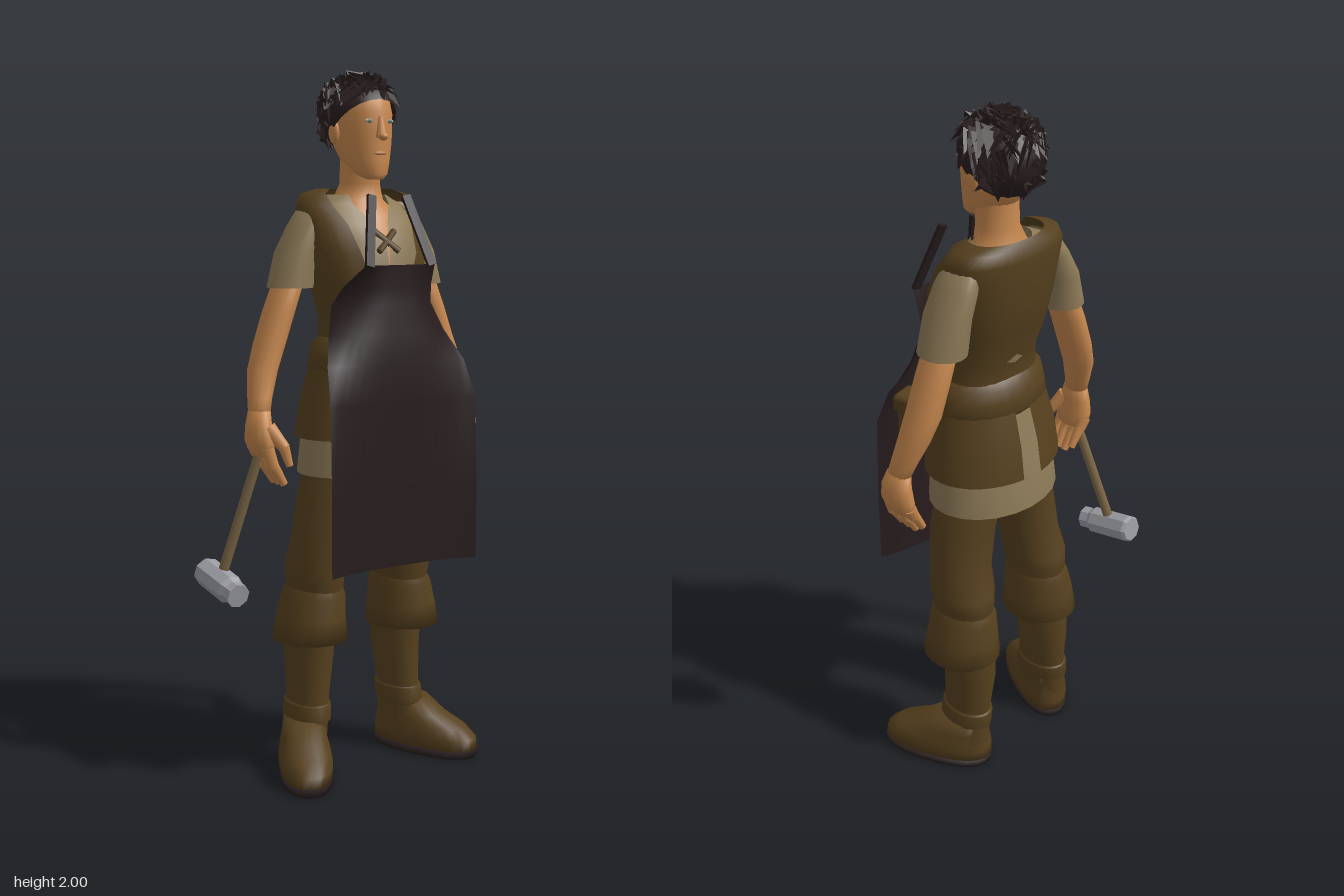
import * as THREE from 'three';
import { mergeGeometries } from 'three/addons/utils/BufferGeometryUtils.js';
import { RoundedBoxGeometry } from 'three/addons/geometries/RoundedBoxGeometry.js';

const CX = 0.04; // midline of the body
const mat = (name, color, side = THREE.FrontSide) => {
  const m = new THREE.MeshStandardMaterial({ color, side });
  m.name = name;
  return m;
};

export function createModel() {
  const D = THREE.DoubleSide;
  const skin = mat('skin', 0xc6874e), leather = mat('brown leather', 0x56401e, D);
  const linen = mat('linen', 0x8c7957, D), apronMat = mat('dark apron', 0x271c1d, D);
  const hairMat = mat('hair', 0x281d1e, D), metal = mat('metal', 0x9a9ba1);
  const wood = mat('wood', 0x7d6747), eyeWhite = mat('eye white', 0xa89a86);
  const iris = mat('iris', 0x587a80), lip = mat('lip', 0xb87842);

  const root = new THREE.Group();
  root.name = 'apronWorker';
  const add = (name, geo, material, parent = root) => {
    const m = new THREE.Mesh(geo, material);
    m.name = name;
    parent.add(m);
    return m;
  };

  // Skin over horizontal rings, bottom to top: [dx, y, z, rx, rz, gap half-angle]
  function loft(rows, { s = 1, cx = CX, seg = 22, from = 0, to = Math.PI * 2, cap = false, e = 1 } = {}) {
    const open = to - from < 6.28 || rows.some(r => r[5]);
    const cols = open ? seg + 1 : seg, pos = [], idx = [];
    const p = v => Math.sign(v) * Math.pow(Math.abs(v), e);
    for (const [dx, y, z, rx, rz, gap = 0] of rows) {
      for (let i = 0; i < cols; i++) {
        const a = from + gap + (to - from - 2 * gap) * i / seg;
        pos.push(cx + s * dx + rx * p(Math.sin(a)), y, z + rz * p(Math.cos(a)));
      }
    }
    for (let j = 0; j < rows.length - 1; j++) {
      for (let i = 0; i < seg; i++) {
        const k = (i + 1) % cols, a = j * cols + i, b = j * cols + k;
        idx.push(a, b, b + cols, a, b + cols, a + cols);
      }
    }
    if (cap) [0, rows.length - 1].forEach((j, top) => {
      const c = pos.length / 3, r = rows[j];
      pos.push(cx + s * r[0], r[1], r[2]);
      for (let i = 0; i < seg; i++) {
        const a = j * cols + i, b = j * cols + (i + 1) % cols;
        if (top) idx.push(c, a, b); else idx.push(c, b, a);
      }
    });
    const g = new THREE.BufferGeometry();
    g.setAttribute('position', new THREE.Float32BufferAttribute(pos, 3));
    g.setIndex(idx);
    g.computeVertexNormals();
    return g;
  }

  // Tapered rod between two points
  function rod(a, b, ra, rb, seg = 10) {
    const A = new THREE.Vector3(...a), B = new THREE.Vector3(...b), d = B.clone().sub(A);
    const g = new THREE.CylinderGeometry(rb, ra, d.length(), seg);
    g.applyQuaternion(new THREE.Quaternion().setFromUnitVectors(new THREE.Vector3(0, 1, 0), d.normalize()));
    const c = A.add(B).multiplyScalar(0.5);
    return g.translate(c.x, c.y, c.z);
  }
  const blob = (x, y, z, rx, ry, rz) => new THREE.SphereGeometry(1, 14, 10).scale(rx, ry, rz).translate(x, y, z);

  // Head, neck and chest
  add('head', loft([[0, 1.7, 0.035, 0.022, 0.02], [0, 1.715, 0.015, 0.043, 0.05], [0, 1.75, -0.015, 0.061, 0.08],
    [0, 1.79, -0.03, 0.073, 0.094], [0, 1.83, -0.038, 0.079, 0.103], [0, 1.88, -0.045, 0.082, 0.109],
    [0, 1.92, -0.048, 0.077, 0.1], [0, 1.95, -0.05, 0.056, 0.07], [0, 1.965, -0.05, 0.03, 0.04]], { cap: true }), skin);
  add('neckAndChest', loft([[0, 1.46, -0.01, 0.12, 0.105], [0, 1.53, -0.025, 0.13, 0.108], [0, 1.6, -0.045, 0.12, 0.09],
    [0, 1.645, -0.055, 0.075, 0.065], [0, 1.69, -0.045, 0.056, 0.06], [0, 1.78, -0.04, 0.055, 0.062]]), skin);
  add('nose', rod([CX, 1.812, 0.066], [CX, 1.87, 0.06], 0.017, 0.008), skin);
  add('noseTip', blob(CX, 1.816, 0.075, 0.014, 0.011, 0.015), skin);
  add('mouth', blob(CX, 1.771, 0.061, 0.02, 0.006, 0.005), lip);
  for (const s of [-1, 1]) {
    add('ear', blob(CX + s * 0.084, 1.83, -0.045, 0.012, 0.033, 0.022), skin);
    add('eye', blob(CX + s * 0.033, 1.858, 0.055, 0.014, 0.006, 0.005), eyeWhite);
    add('iris', blob(CX + s * 0.033, 1.858, 0.058, 0.006, 0.005, 0.004), iris);
  }

  // Hair: tilted cap covered with flat pointed shards
  add('hairCap', new THREE.SphereGeometry(1, 20, 12, 0, Math.PI * 2, 0, Math.PI * 0.6)
    .rotateX(-0.74).scale(0.098, 0.108, 0.121).translate(CX, 1.872, -0.05), hairMat);
  let seed = 7;
  const rnd = () => (seed = (seed * 16807) % 2147483647) / 2147483647;
  const tufts = [], up = new THREE.Vector3(0, 1, 0);
  while (tufts.length < 180) {
    const y = rnd() * 1.7 - 0.7, a = rnd() * Math.PI * 2, h = Math.sqrt(1 - y * y);
    const n = new THREE.Vector3(h * Math.sin(a), y, h * Math.cos(a));
    if (n.y < 0.9 * n.z - 0.24 || (n.z > 0.3 && n.y < 0.42)) continue;
    const dir = new THREE.Vector3(rnd() - 0.5, -0.7, rnd() - 0.5);
    dir.addScaledVector(n, -dir.dot(n)).normalize().addScaledVector(n, 0.05 + rnd() * 0.35).normalize();
    const g = new THREE.ConeGeometry(0.027, 0.06 + rnd() * 0.025, 3).toNonIndexed();
    g.scale(1, 1, 0.3).rotateY(Math.atan2(n.x, n.z)).applyQuaternion(new THREE.Quaternion().setFromUnitVectors(up, dir));
    g.translate(CX + n.x * 0.102, 1.876 + n.y * 0.108, -0.05 + n.z * 0.12);
    g.computeVertexNormals();
    tufts.push(g);
  }
  add('hairTufts', mergeGeometries(tufts), hairMat);

  // Shirt, vest and skirted hem
  add('shirt', loft([[0, 1.3, 0, 0.14, 0.11], [0, 1.42, -0.01, 0.158, 0.128], [0, 1.53, -0.027, 0.168, 0.125, 0.02],
    [0, 1.58, -0.045, 0.17, 0.108, 0.14], [0, 1.635, -0.065, 0.14, 0.085, 0.45], [0, 1.66, -0.06, 0.085, 0.072, 0.75]]), linen);
  add('vest', loft([[0, 1.17, -0.005, 0.16, 0.122], [0, 1.25, 0, 0.146, 0.111], [0, 1.32, 0, 0.145, 0.113, 0.1],
    [0, 1.42, -0.01, 0.165, 0.135, 0.35], [0, 1.5, -0.02, 0.178, 0.141, 0.48], [0, 1.58, -0.045, 0.186, 0.12, 0.55],
    [0, 1.63, -0.07, 0.184, 0.098, 0.68], [0, 1.662, -0.076, 0.166, 0.084, 0.85], [0, 1.676, -0.074, 0.115, 0.07, 1.05]],
  { seg: 30, e: 0.88 }), leather);
  add('shirtHem', loft([[0, 0.88, -0.025, 0.202, 0.157], [0, 1.0, -0.02, 0.192, 0.147], [0, 1.18, 0, 0.155, 0.118]]), linen);
  add('waistRoll', loft([[0, 1.16, -0.008, 0.16, 0.122], [0, 1.18, -0.008, 0.18, 0.137], [0, 1.215, -0.005, 0.176, 0.134],
    [0, 1.25, -0.003, 0.168, 0.128], [0, 1.27, 0, 0.145, 0.112]]), leather);
  for (const [from, to] of [[0.22, 0.95], [1.05, 1.78]]) {
    add('skirtPanel', loft([[0, 0.985, -0.022, 0.21, 0.164], [0, 1.08, -0.018, 0.198, 0.154], [0, 1.19, -0.008, 0.173, 0.132]],
      { from: from * Math.PI, to: to * Math.PI, seg: 14 }), leather);
  }
  for (const s of [-1, 1]) {
    add('chestLace', rod([CX - s * 0.033, 1.505, 0.107], [CX + s * 0.033, 1.56, 0.08], 0.009, 0.009, 6), leather);
  }

  // Hip pouch with flap
  const pouch = new THREE.Group();
  pouch.name = 'pouch';
  pouch.position.set(CX + 0.175, 1.13, 0.075);
  pouch.rotation.y = 0.25;
  root.add(pouch);
  add('pouchBody', new RoundedBoxGeometry(0.07, 0.11, 0.125, 3, 0.02), leather, pouch);
  add('pouchFlap', new RoundedBoxGeometry(0.082, 0.055, 0.14, 3, 0.015), leather, pouch).position.y = 0.045;
  add('pouchButton', blob(0.043, 0.02, 0, 0.006, 0.01, 0.01), leather, pouch);

  // Apron: sheet shaped by [y, half width, middle z, edge z]
  const cut = [[1.47, 0.113, 0.163, 0.163], [1.41, 0.146, 0.16, 0.1], [1.36, 0.165, 0.162, 0.07], [1.28, 0.192, 0.172, 0.1],
    [1.2, 0.226, 0.178, 0.15], [1.1, 0.24, 0.178, 0.188], [0.86, 0.242, 0.17, 0.197], [0.63, 0.242, 0.165, 0.197]];
  const apron = new THREE.PlaneGeometry(2, 1, 16, cut.length - 1), ap = apron.attributes.position;
  for (let i = 0; i < ap.count; i++) {
    const [y, w, zm, ze] = cut[Math.floor(i / 17)], u = ap.getX(i);
    ap.setXYZ(i, CX + u * w, y, zm + (ze - zm) * Math.abs(u) ** 3);
  }
  apron.computeVertexNormals();
  add('apron', apron, apronMat);
  for (const s of [-1, 1]) {
    const strap = new THREE.BoxGeometry(0.026, 0.205, 0.01).rotateX(-0.31).rotateZ(s * 0.24);
    add('apronStrap', strap.translate(CX + s * 0.079, 1.562, 0.134), apronMat);
  }

  add('pelvis', loft([[0, 0.86, -0.025, 0.06, 0.07], [0, 0.9, -0.025, 0.15, 0.11], [0, 1.02, -0.02, 0.16, 0.12]], { cap: true }), leather);

  for (const s of [-1, 1]) {
    // Arm and sleeve
    const o = { s, seg: 14, cap: true };
    add('sleeve', loft([[0.217, 1.405, -0.065, 0.064, 0.071], [0.198, 1.5, -0.066, 0.056, 0.071],
      [0.165, 1.575, -0.066, 0.046, 0.068], [0.145, 1.62, -0.066, 0.036, 0.055], [0.125, 1.64, -0.066, 0.02, 0.035]], { s }), linen);
    add('arm', loft([[0.343, 1.06, -0.02, 0.028, 0.036], [0.332, 1.11, -0.035, 0.033, 0.04], [0.312, 1.18, -0.055, 0.041, 0.048],
      [0.285, 1.25, -0.064, 0.042, 0.055], [0.253, 1.34, -0.066, 0.043, 0.054], [0.207, 1.46, -0.066, 0.04, 0.05]], o), skin);

    // Hand with curled fingers
    const x = CX, hand = [loft([[0.334, 0.95, -0.018, 0.026, 0.055], [0.345, 0.99, -0.016, 0.034, 0.058],
      [0.347, 1.03, -0.016, 0.033, 0.05], [0.341, 1.075, -0.022, 0.029, 0.037]], o)];
    for (let k = 0; k < 4; k++) {
      const z = 0.024 - k * 0.028, drop = k === 3 ? 0.02 : 0;
      hand.push(rod([x + s * 0.342, 0.975, z], [x + s * 0.325, 0.92 + drop, z + 0.004], 0.018, 0.016, 8));
      hand.push(rod([x + s * 0.328, 0.93 + drop, z + 0.004], [x + s * 0.294, 0.872 + drop, z + 0.006], 0.016, 0.011, 8));
    }
    hand.push(rod([x + s * 0.335, 1.03, 0.015], [x + s * 0.3, 0.975, 0.045], 0.023, 0.016, 8));
    hand.push(rod([x + s * 0.302, 0.98, 0.043], [x + s * 0.288, 0.925, 0.052], 0.016, 0.01, 8));
    hand.forEach(g => g.deleteAttribute('uv'));
    add('hand', mergeGeometries(hand), skin);

    // Trousers
    add('trouserLeg', loft([[0.145, 0.48, -0.055, 0.07, 0.085], [0.148, 0.57, -0.055, 0.08, 0.1], [0.146, 0.61, -0.05, 0.088, 0.1],
      [0.138, 0.68, -0.035, 0.086, 0.092], [0.118, 0.8, -0.025, 0.091, 0.097], [0.096, 0.89, -0.025, 0.088, 0.1],
      [0.08, 1.0, -0.02, 0.075, 0.09]], { s }), leather);

    // Boot: cuff, shaft, ankle band, foot and sole
    add('bootCuff', loft([[0.152, 0.42, -0.075, 0.06, 0.08], [0.161, 0.395, -0.06, 0.107, 0.118], [0.157, 0.46, -0.06, 0.098, 0.11],
      [0.15, 0.525, -0.058, 0.088, 0.104], [0.147, 0.555, -0.056, 0.075, 0.092]], { s }), leather);
    add('bootShaft', loft([[0.168, 0.08, -0.08, 0.058, 0.08], [0.163, 0.15, -0.078, 0.055, 0.082], [0.158, 0.22, -0.08, 0.056, 0.08],
      [0.152, 0.33, -0.084, 0.067, 0.086], [0.15, 0.44, -0.075, 0.07, 0.085]], { s }), leather);
    add('ankleBand', loft([[0.163, 0.145, -0.076, 0.056, 0.08], [0.163, 0.15, -0.076, 0.063, 0.088], [0.16, 0.195, -0.08, 0.062, 0.087],
      [0.159, 0.2, -0.08, 0.056, 0.08]], { s }), leather);
    const foot = new THREE.Group();
    foot.name = 'foot';
    foot.position.set(CX + s * 0.174, 0, -0.082);
    foot.rotation.y = s * 0.44;
    root.add(foot);
    const f = { cx: 0, cap: true, e: 0.85 };
    add('bootFoot', loft([[0, 0.022, 0.088, 0.074, 0.17], [0, 0.055, 0.086, 0.077, 0.168], [0, 0.085, 0.07, 0.072, 0.147],
      [0, 0.115, 0.038, 0.064, 0.11], [0, 0.155, 0.008, 0.056, 0.082]], f), leather, foot);
    add('bootSole', loft([[0, 0, 0.088, 0.074, 0.168], [0, 0.024, 0.088, 0.076, 0.172]], f), hairMat, foot);
  }

  // Hammer carried in the right hand
  const hammer = new THREE.Group();
  hammer.name = 'hammer';
  root.add(hammer);
  add('hammerHandle', rod([-0.386, 0.57, -0.115], [-0.287, 1.01, -0.015], 0.015, 0.014), wood, hammer);
  const head = new THREE.Group();
  head.name = 'hammerHead';
  head.position.set(-0.383, 0.582, -0.11);
  head.rotation.set(0.2, 0.06, -0.2);
  hammer.add(head);
  const block = (r1, r2, len, z) => new THREE.CylinderGeometry(r1, r2, len, 8).toNonIndexed()
    .rotateY(Math.PI / 8).rotateX(Math.PI / 2).translate(0, 0, z);
  [['headBlock', 0.042, 0.042, 0.13, -0.01], ['headTaper', 0.031, 0.042, 0.018, 0.064],
    ['strikingFace', 0.035, 0.033, 0.028, 0.085], ['backBevel', 0.042, 0.036, 0.01, -0.08]].forEach(([n, a, b, l, z]) => {
    const g = block(a, b, l, z);
    g.computeVertexNormals();
    add(n, g, metal, head);
  });
  return root;
}
